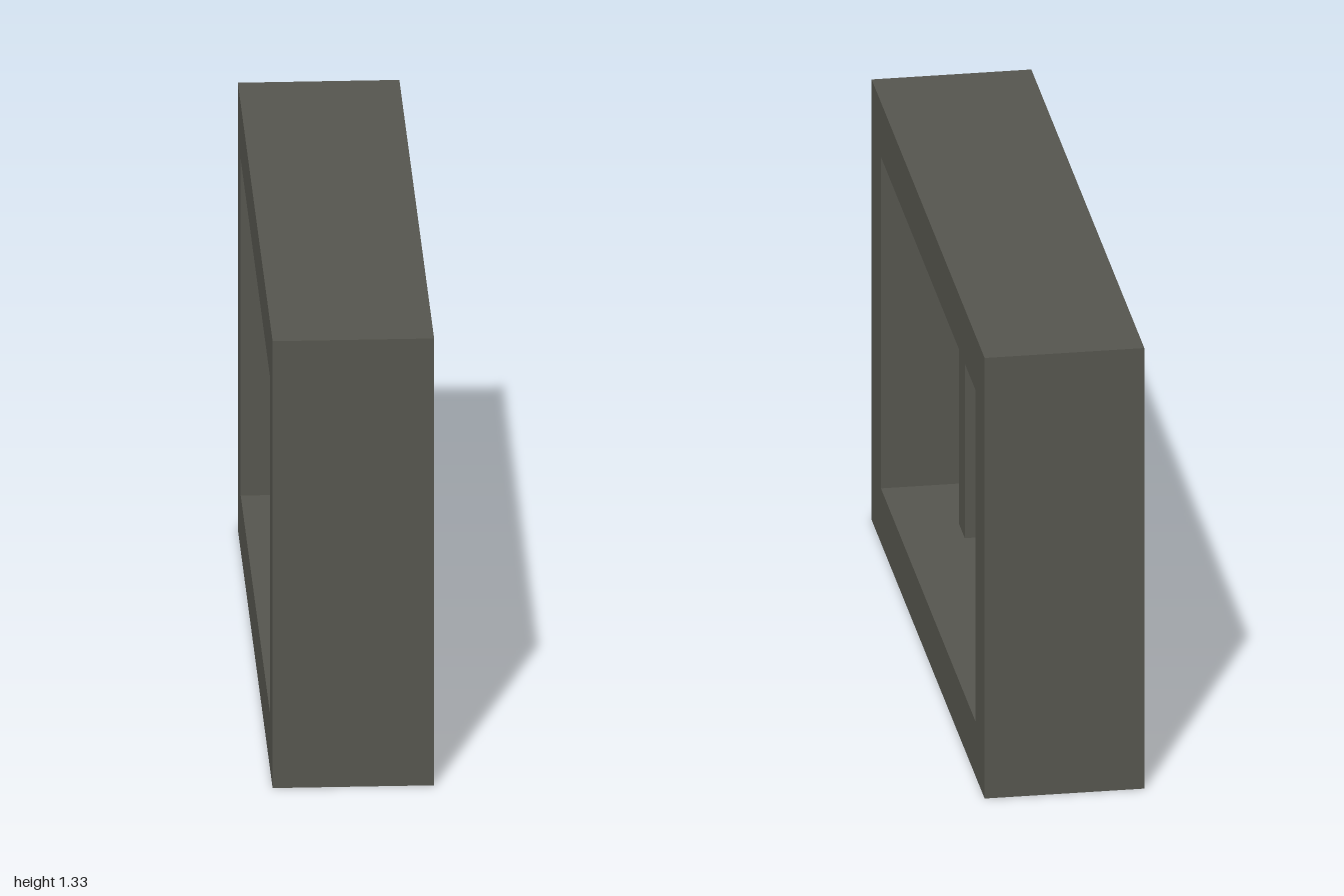
import * as THREE from 'three';

const WIDTH = 0.45, HEIGHT = 1.333, LENGTH = 2, BORDER = 0.165;

// Adds a closed rectangle to a shape or hole path
function rectangle(path, x0, y0, x1, y1) {
  path.moveTo(x0, y0);
  path.lineTo(x1, y0);
  path.lineTo(x1, y1);
  path.lineTo(x0, y1);
  path.closePath();
  return path;
}

export function createModel() {
  const group = new THREE.Group();
  group.name = 'barredWindow';
  const darkStone = new THREE.MeshStandardMaterial({ color: 0x55554e });
  darkStone.name = 'darkStone';

  // Deep rectangular surround with an open middle
  const outline = rectangle(new THREE.Shape(), -LENGTH / 2, 0, LENGTH / 2, HEIGHT);
  outline.holes.push(rectangle(new THREE.Path(),
    -LENGTH / 2 + BORDER, BORDER, LENGTH / 2 - BORDER, HEIGHT - BORDER));
  const frameGeometry = new THREE.ExtrudeGeometry(outline, { depth: WIDTH, bevelEnabled: false });
  frameGeometry.translate(0, 0, -WIDTH / 2);
  frameGeometry.rotateY(Math.PI / 2);
  const frame = new THREE.Mesh(frameGeometry, darkStone);
  frame.name = 'frame';
  group.add(frame);

  // Three square upright bars
  const barGeometry = new THREE.BoxGeometry(0.1, HEIGHT - 2 * BORDER, 0.1);
  for (const [name, z] of [['backBar', -0.5], ['middleBar', 0], ['frontBar', 0.5]]) {
    const bar = new THREE.Mesh(barGeometry, darkStone);
    bar.name = name;
    bar.position.set(0, HEIGHT / 2, z);
    group.add(bar);
  }
  return group;
}
